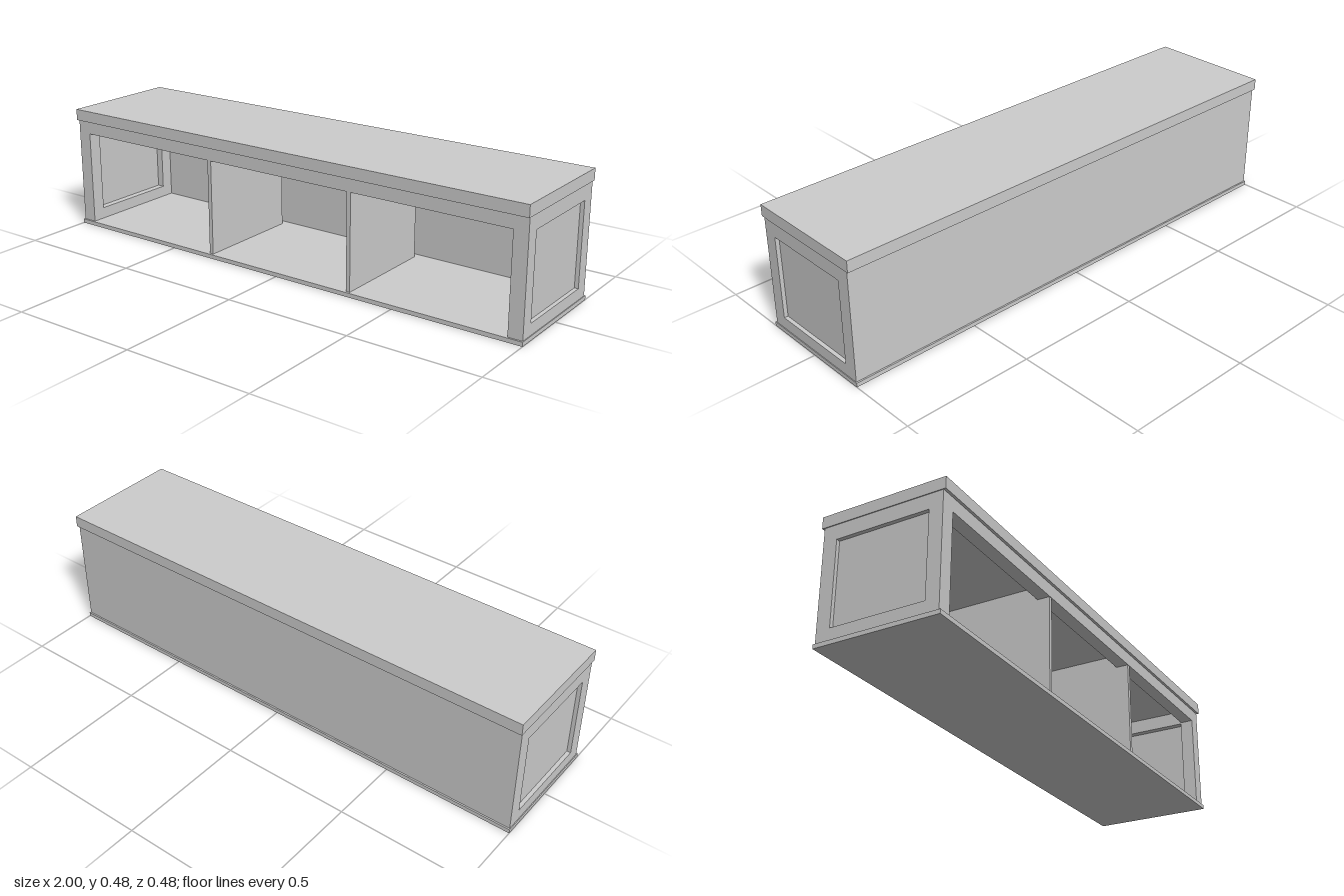
import * as THREE from 'three';

const material = new THREE.MeshStandardMaterial({ color: 0xcccccc, flatShading: true });

// Box given by its lower and upper bounds on each axis
function box(name, [x0, x1], [y0, y1], [z0, z1]) {
  const mesh = new THREE.Mesh(new THREE.BoxGeometry(x1 - x0, y1 - y0, z1 - z0), material);
  mesh.name = name;
  mesh.position.set((x0 + x1) / 2, (y0 + y1) / 2, (z0 + z1) / 2);
  return mesh;
}

const BASE = 0.016, BODY_TOP = 0.436, OUTER = 0.997, INNER = 0.942;
const FRONT = 0.23, BACK = -0.228;

// End frame with a rectangular window, cut in the zy plane and extruded along x
function sideFrame(name, x) {
  const shape = new THREE.Shape([
    new THREE.Vector2(-FRONT, BASE), new THREE.Vector2(-BACK, BASE),
    new THREE.Vector2(-BACK, BODY_TOP), new THREE.Vector2(-FRONT, BODY_TOP),
  ]);
  shape.holes.push(new THREE.Path([
    new THREE.Vector2(-0.178, 0.06), new THREE.Vector2(-0.178, 0.38),
    new THREE.Vector2(0.178, 0.38), new THREE.Vector2(0.178, 0.06),
  ]));
  const geometry = new THREE.ExtrudeGeometry(shape, { depth: OUTER - INNER, bevelEnabled: false });
  geometry.rotateY(Math.PI / 2);
  const mesh = new THREE.Mesh(geometry, material);
  mesh.name = name;
  mesh.position.x = x;
  return mesh;
}

export function createModel() {
  const bench = new THREE.Group();
  bench.name = 'storageBench';

  // Horizontal boards
  bench.add(box('top', [-1, 1], [BODY_TOP, 0.48], [-0.24, 0.24]));
  bench.add(box('base', [-1, 1], [0, BASE], [-0.237, 0.237]));

  // Front rail under the top and thin back board
  bench.add(box('frontRail', [-INNER, INNER], [0.385, BODY_TOP], [0.18, FRONT]));
  bench.add(box('backBoard', [-OUTER, OUTER], [BASE, BODY_TOP], [-0.231, BACK]));

  // Framed ends with recessed panels
  for (const [side, s] of [['left', 1], ['right', -1]]) {
    bench.add(sideFrame(side + 'EndFrame', s > 0 ? INNER : -OUTER));
    const xs = [s * 0.97, s * 0.982].sort((a, b) => a - b);
    bench.add(box(side + 'EndPanel', xs, [0.055, 0.385], [-0.183, 0.183]));
  }

  // Upright dividers forming three bays, stopping short of the back board
  for (const x of [-0.315, 0.315]) {
    bench.add(box(x > 0 ? 'leftDivider' : 'rightDivider',
      [x - 0.008, x + 0.008], [BASE, BODY_TOP], [-0.2, FRONT - 0.002]));
  }
  return bench;
}
